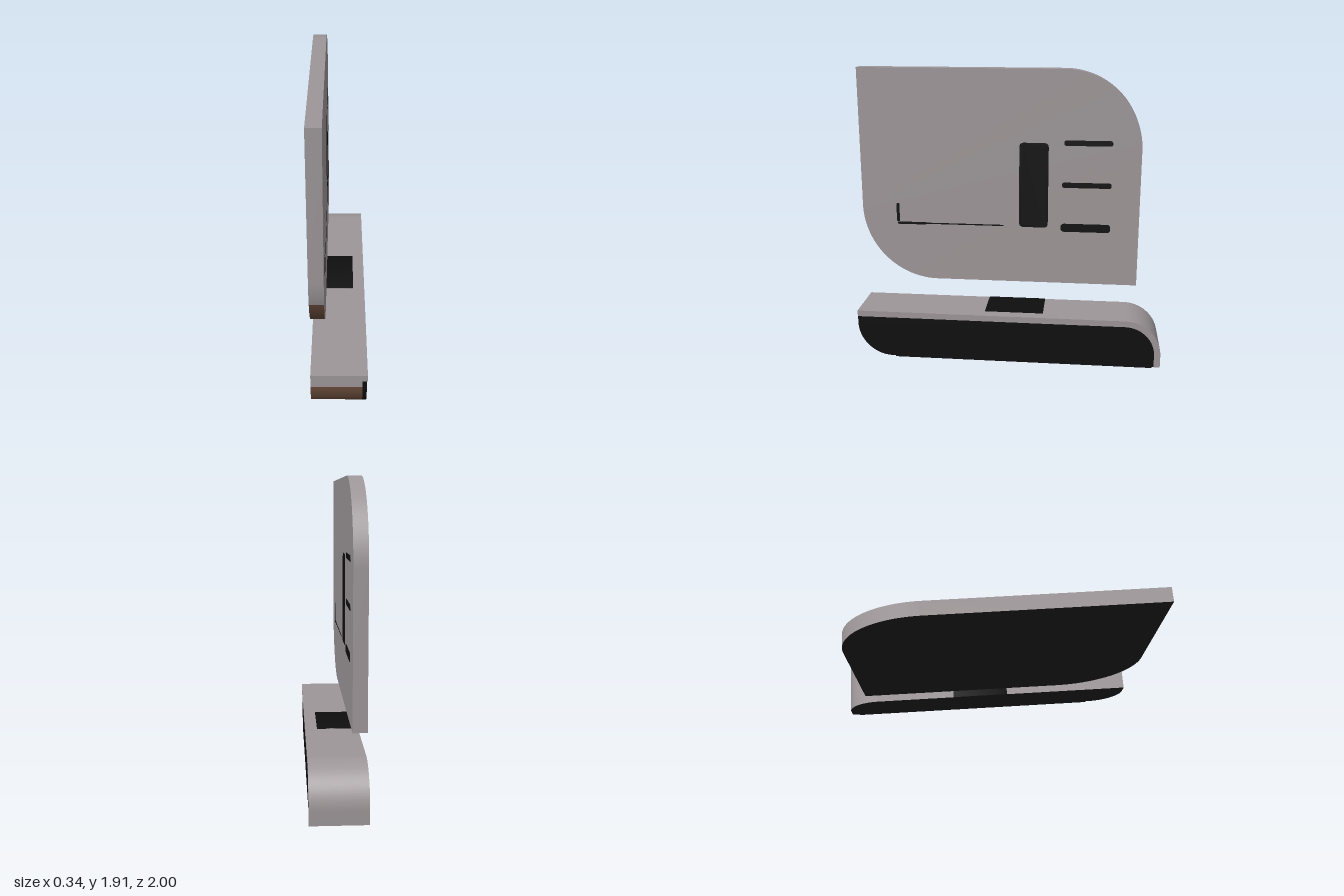
import * as THREE from 'three';
import { toCreasedNormals } from 'three/addons/utils/BufferGeometryUtils.js';

const grey = new THREE.MeshStandardMaterial({ name: 'warm grey', color: 0x9d9698 });
const black = new THREE.MeshStandardMaterial({ name: 'black', color: 0x0e0e0e });
const brown = new THREE.MeshStandardMaterial({ name: 'brown', color: 0x66493a });
const palette = [grey, black, brown];
const GREY = 0, BLACK = 1, BROWN = 2;

// Extrudes a side profile (drawn with u = -z, v = y) from x0 to x1.
// paint(normal, centre) picks the palette index of each triangle.
function slab(name, shape, x0, x1, paint) {
  let geo = new THREE.ExtrudeGeometry(shape, { depth: x1 - x0, bevelEnabled: false, curveSegments: 32 });
  geo.rotateY(Math.PI / 2).translate(x0, 0, 0);
  geo = toCreasedNormals(geo, 0.5);
  geo.clearGroups();
  const p = geo.attributes.position;
  const tri = new THREE.Triangle(), n = new THREE.Vector3(), c = new THREE.Vector3();
  let start = 0, current = -1;
  for (let i = 0; i < p.count; i += 3) {
    tri.setFromAttributeAndIndices(p, i, i + 1, i + 2);
    tri.getNormal(n);
    tri.getMidpoint(c);
    const k = paint(n, c);
    if (k !== current) {
      if (current >= 0) geo.addGroup(start, i - start, current);
      start = i;
      current = k;
    }
  }
  geo.addGroup(start, p.count - start, current);
  const mesh = new THREE.Mesh(geo, palette);
  mesh.name = name;
  return mesh;
}

// Rounded rectangle given by z and y limits
function roundedRect(zFront, zBack, y0, y1, r) {
  const a = -zFront, b = -zBack, s = new THREE.Shape();
  s.moveTo(a + r, y0);
  s.lineTo(b - r, y0);
  s.quadraticCurveTo(b, y0, b, y0 + r);
  s.lineTo(b, y1 - r);
  s.quadraticCurveTo(b, y1, b - r, y1);
  s.lineTo(a + r, y1);
  s.quadraticCurveTo(a, y1, a, y1 - r);
  s.lineTo(a, y0 + r);
  s.quadraticCurveTo(a, y0, a + r, y0);
  return s;
}

// Upright panel with two opposite corners swept round
function panelShape() {
  const s = new THREE.Shape();
  s.moveTo(-0.5, 0.49);
  s.lineTo(0.84, 0.49);
  s.lineTo(0.84, 1.4);
  s.absellipse(0.34, 1.4, 0.5, 0.51, 0, Math.PI / 2, false);
  s.lineTo(-1, 1.91);
  s.lineTo(-1, 1.0);
  s.absellipse(-0.5, 1.0, 0.5, 0.51, Math.PI, Math.PI * 1.5, false);
  return s;
}

// Base body: round lower front, round upper back
function bodyShape() {
  const s = new THREE.Shape();
  s.moveTo(-0.77, 0.02);
  s.lineTo(0.96, 0.02);
  s.lineTo(0.96, 0.1);
  s.absarc(0.765, 0.1, 0.195, 0, Math.PI / 2, false);
  s.lineTo(-1, 0.295);
  s.lineTo(-1, 0.25);
  s.absarc(-0.77, 0.25, 0.23, Math.PI, Math.PI * 1.5, false);
  return s;
}

// Thin cover over the top and down the back of the base
function coverShape() {
  const s = new THREE.Shape();
  s.moveTo(-1, 0.295);
  s.lineTo(0.765, 0.295);
  s.absarc(0.765, 0.1, 0.195, Math.PI / 2, 0, true);
  s.lineTo(0.96, 0.02);
  s.lineTo(1, 0.02);
  s.lineTo(1, 0.1);
  s.absarc(0.765, 0.1, 0.235, 0, Math.PI / 2, false);
  s.lineTo(-1, 0.335);
  return s;
}

export function createModel() {
  const model = new THREE.Group();
  model.name = 'model';
  const allBlack = () => BLACK;

  // Upright panel: black rear face, brown band on the lower front curve
  model.add(slab('uprightPanel', panelShape(), -0.17, -0.085, (n, c) => {
    if (n.x < -0.9) return BLACK;
    if (n.x < 0.9 && n.z > 0.1 && c.y > 0.58 && c.y < 0.83) return BROWN;
    return GREY;
  }));

  // Dark slots on the panel face: [zFront, zBack, yLow, yHigh, corner radius]
  const slots = new THREE.Group();
  slots.name = 'panelSlots';
  [
    [-0.055, -0.245, 0.875, 1.44, 0.03],
    [-0.345, -0.655, 1.425, 1.46, 0.016],
    [-0.335, -0.655, 1.148, 1.183, 0.016],
    [-0.33, -0.655, 0.85, 0.905, 0.024],
    [0.77, 0.75, 0.89, 1.015, 0.008],
    [0.765, 0.57, 0.872, 0.888, 0.007],
    [0.57, 0.05, 0.877, 0.885, 0.003],
  ].forEach((d, i) => slots.add(slab('slot' + (i + 1), roundedRect(...d), -0.086, -0.083, allBlack)));
  model.add(slots);

  // Base
  model.add(slab('baseBody', bodyShape(), -0.17, 0.135, (n, c) => {
    if (Math.abs(n.x) > 0.9) return BLACK;
    return c.y < 0.25 ? BROWN : GREY;
  }));
  model.add(slab('baseSidePlate', bodyShape(), 0.135, 0.16, allBlack));
  model.add(slab('baseCover', coverShape(), -0.17, 0.165, (n) => (n.x < -0.9 ? BLACK : GREY)));
  model.add(slab('foot', roundedRect(0.76, -0.95, 0, 0.02, 0.002), -0.17, 0.135, allBlack));

  // Dark pad on top of the base
  model.add(slab('topPad', roundedRect(0.155, -0.23, 0.333, 0.338, 0.001), -0.17, 0.09, allBlack));

  return model;
}
